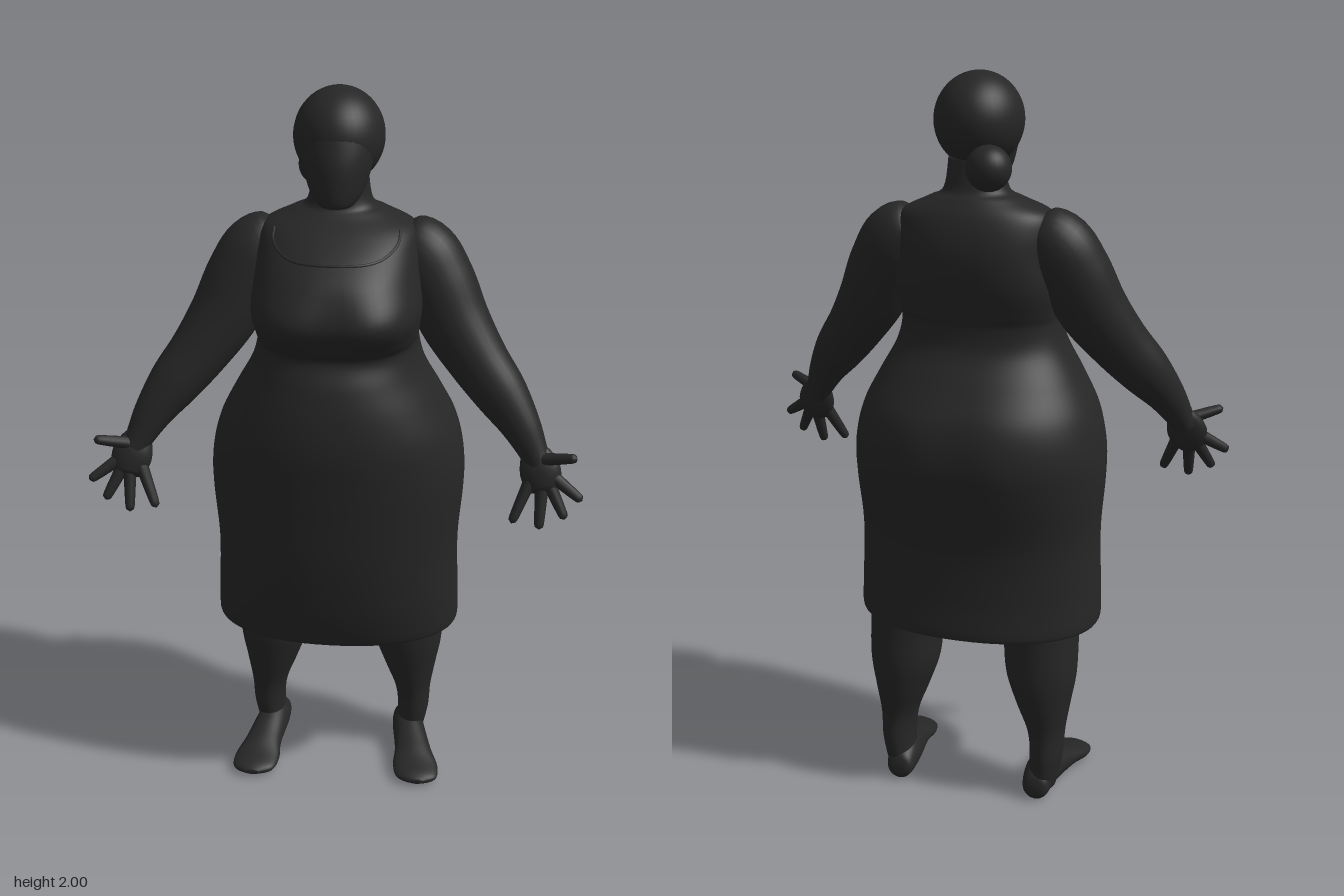
import * as THREE from 'three';
import { mergeVertices } from 'three/addons/utils/BufferGeometryUtils.js';

const SEG = 64;
const bump = (y, centre, width) => Math.exp(-(((y - centre) / width) ** 2));

// Smooth sample of a table of rows at position t (in row units)
function sample(rows, t) {
  const last = rows.length - 1;
  const i = Math.min(Math.floor(t), last - 1), f = t - i;
  const at = k => rows[Math.max(0, Math.min(last, k))];
  return rows[i].map((p1, c) => {
    const p0 = at(i - 1)[c], p2 = at(i + 1)[c], p3 = at(i + 2)[c];
    const m1 = (p2 - p0) / 2, m2 = (p3 - p1) / 2, d = p2 - p1;
    return p1 + f * (m1 + f * (3 * d - 2 * m1 - m2 + f * (m1 + m2 - 2 * d)));
  });
}

// Point on an oval level section: [y, half width, front z, back z, centre x]
function ovalPoint([y, rx, zf, zb, cx = 0], a) {
  return [cx + Math.sin(a) * rx, y, (zf + zb) / 2 + (Math.cos(a) * (zf - zb)) / 2];
}

// Point on a body section: squarer at the bust, dipped between the bust and hip lobes
function bodyPoint([y, rx, zf, zb], a) {
  const s = Math.sin(a), c = Math.cos(a), e = 2.2 + 0.6 * bump(y, 1.46, 0.09);
  const cz = -0.045 * THREE.MathUtils.smoothstep(y, 1.46, 1.62);
  const x = Math.sign(s) * Math.abs(s) ** (2 / e) * rx;
  const lobe = c > 0 ? 0.06 * bump(y, 1.47, 0.08) : 0.04 * bump(y, 1.02, 0.16);
  const z = Math.abs(c) ** (2 / e) * ((c > 0 ? zf : zb) - cz) * (1 - lobe * bump(x, 0, 0.07));
  return [x, y, cz + z];
}

// Closed skin over a stack of level sections
function loft(rows, point = ovalPoint, steps = 6) {
  const n = (rows.length - 1) * steps, pos = [], idx = [];
  for (let i = 0; i <= n; i++) {
    const row = sample(rows, i / steps);
    for (let j = 0; j < SEG; j++) pos.push(...point(row, (j / SEG) * Math.PI * 2));
  }
  for (let i = 0; i < n; i++) for (let j = 0; j < SEG; j++) {
    const a = i * SEG + j, b = i * SEG + (j + 1) % SEG;
    idx.push(a, b, b + SEG, a, b + SEG, a + SEG);
  }
  const k = (n + 1) * SEG;
  for (const [y, , zf, zb, cx = 0] of [rows[0], rows[rows.length - 1]]) pos.push(cx, y, (zf + zb) / 2);
  for (let j = 0; j < SEG; j++) {
    const b = (j + 1) % SEG;
    idx.push(k, b, j, k + 1, n * SEG + j, n * SEG + b);
  }
  const g = new THREE.BufferGeometry();
  g.setAttribute('position', new THREE.Float32BufferAttribute(pos, 3));
  g.setIndex(idx);
  g.computeVertexNormals();
  return g;
}

// Round limb through points [x, y, z, radius], optionally flattened in z
function limb(pts, flat, n, sides) {
  const curve = new THREE.CatmullRomCurve3(pts.map(p => new THREE.Vector3(p[0], p[1], p[2])));
  let g = new THREE.TubeGeometry(curve, n, 1, sides);
  const pos = g.attributes.position, v = new THREE.Vector3();
  for (let i = 0; i <= n; i++) {
    const c = curve.getPointAt(i / n);
    const r = Math.max(0.0005, sample(pts, curve.getUtoTmapping(i / n) * (pts.length - 1))[3]);
    for (let j = 0; j <= sides; j++) {
      const k = i * (sides + 1) + j;
      v.fromBufferAttribute(pos, k).sub(c).multiplyScalar(r);
      pos.setXYZ(k, c.x + v.x, c.y + v.y, c.z + v.z * flat);
    }
  }
  g.deleteAttribute('uv');
  g.deleteAttribute('normal');
  g = mergeVertices(g, 1e-5);
  g.computeVertexNormals();
  return g;
}

// Foot: sections run from heel to toe, then height and depth change places
function footGeometry(s) {
  const g = loft([
    [-0.166, 0.02, 0.02, 0.05, 0.203],
    [-0.15, 0.038, 0.004, 0.085, 0.203],
    [-0.08, 0.046, 0.003, 0.11, 0.206],
    [0.03, 0.054, 0.005, 0.076, 0.227],
    [0.09, 0.066, 0.002, 0.053, 0.237],
    [0.14, 0.058, 0.004, 0.04, 0.242],
    [0.163, 0.02, 0.015, 0.029, 0.243],
  ].map(([z, rx, low, high, x]) => [z, rx, high, low, x * s]));
  const p = g.attributes.position;
  for (let i = 0; i < p.count; i++) p.setXYZ(i, p.getX(i), p.getZ(i), p.getY(i));
  g.index.array.reverse();
  g.computeVertexNormals();
  return g;
}

export function createModel() {
  const model = new THREE.Group();
  const charcoal = new THREE.MeshStandardMaterial({ color: 0x262626 });
  charcoal.name = 'charcoal';
  const add = (name, geometry, parent = model) => {
    const m = new THREE.Mesh(geometry, charcoal);
    m.name = name;
    parent.add(m);
    return m;
  };

  // Dress and torso from hem to neck, with a lining inside the skirt
  const outer = [
    [0.522, 0.343, 0.214, -0.236],
    [0.62, 0.34, 0.24, -0.23],
    [0.77, 0.335, 0.262, -0.235],
    [0.92, 0.345, 0.273, -0.272],
    [1.02, 0.344, 0.28, -0.289],
    [1.12, 0.322, 0.285, -0.27],
    [1.21, 0.277, 0.275, -0.212],
    [1.29, 0.232, 0.253, -0.16],
    [1.355, 0.213, 0.225, -0.15],
    [1.39, 0.215, 0.252, -0.158],
    [1.46, 0.222, 0.292, -0.176],
    [1.54, 0.215, 0.252, -0.185],
    [1.60, 0.212, 0.19, -0.178],
    [1.65, 0.197, 0.115, -0.16],
    [1.685, 0.128, 0.052, -0.136],
    [1.71, 0.085, 0.032, -0.115],
    [1.79, 0.072, 0.025, -0.098],
  ];
  const lining = outer.slice(0, 4).reverse().map(([y, ...r]) => [y, ...r.map(v => v * 0.96)]);
  const body = [...lining, ...outer];
  add('dressAndTorso', loft(body, bodyPoint));

  // Neckline edge lying on the chest
  const neckline = [];
  for (let i = -8; i <= 8; i++) {
    const row = sample(body, 16 + 1.1 * (i / 8) ** 4);
    neckline.push(new THREE.Vector3(...bodyPoint(row, i * 0.12)));
  }
  add('neckline', new THREE.TubeGeometry(new THREE.CatmullRomCurve3(neckline), 48, 0.004, 6));

  // Face with a flat front and a blunt chin
  add('face', loft([
    [1.722, 0.03, 0.108, 0.04],
    [1.728, 0.047, 0.128, 0.01],
    [1.76, 0.07, 0.134, -0.04],
    [1.82, 0.088, 0.132, -0.07],
    [1.87, 0.095, 0.12, -0.08],
    [1.92, 0.09, 0.1, -0.08],
    [1.96, 0.06, 0.065, -0.06],
  ]));

  // Hair cap and a low bun
  const hair = add('hair', new THREE.SphereGeometry(1, 40, 28));
  hair.scale.set(0.116, 0.122, 0.132);
  hair.position.set(0, 1.878, -0.018);
  const bun = add('hairBun', new THREE.SphereGeometry(0.058, 28, 20));
  bun.position.set(-0.062, 1.772, -0.15);

  for (const s of [1, -1]) {
    const side = s > 0 ? 'left' : 'right';
    const arm = new THREE.Group(), leg = new THREE.Group();
    arm.name = side + 'Arm';
    leg.name = side + 'Leg';
    model.add(arm, leg);
    const mirror = pts => pts.map(([x, ...rest]) => [x * s, ...rest]);

    // Arm from shoulder to wrist
    add('armSkin', limb(mirror([
      [0.13, 1.615, -0.05, 0],
      [0.16, 1.598, -0.05, 0.07],
      [0.21, 1.57, -0.045, 0.095],
      [0.255, 1.5, -0.03, 0.098],
      [0.305, 1.4, -0.005, 0.092],
      [0.37, 1.305, 0.03, 0.08],
      [0.435, 1.225, 0.065, 0.07],
      [0.49, 1.15, 0.1, 0.052],
      [0.54, 1.06, 0.135, 0.034],
    ]), 0.92, 60, 28), arm);

    // Palm and spread fingers
    add('palm', limb(mirror([
      [0.52, 1.105, 0.12, 0],
      [0.527, 1.09, 0.123, 0.036],
      [0.545, 1.04, 0.144, 0.054],
      [0.556, 0.995, 0.162, 0.036],
      [0.558, 0.985, 0.166, 0],
    ]), 0.45, 24, 20), arm);
    const fingers = {
      thumb: [[0.54, 1.075, 0.14], [0.635, 1.103, 0.185]],
      indexFinger: [[0.58, 1.03, 0.15], [0.655, 0.982, 0.186]],
      middleFinger: [[0.57, 1.01, 0.155], [0.614, 0.928, 0.19]],
      ringFinger: [[0.55, 1, 0.157], [0.547, 0.898, 0.197]],
      littleFinger: [[0.52, 1.02, 0.15], [0.474, 0.912, 0.195]],
    };
    const taper = [[0, 0.018], [0.35, 0.016], [0.7, 0.014], [0.94, 0.011], [1, 0]];
    for (const [name, [root, tip]] of Object.entries(fingers)) {
      const pts = taper.map(([t, r]) => [...root.map((v, i) => v + (tip[i] - v) * t), r]);
      add(name, limb(mirror(pts), 1, 18, 12), arm);
    }

    // Leg from ankle to thigh
    add('legSkin', loft([
      [0.03, 0.04, -0.04, -0.155, 0.208],
      [0.12, 0.046, -0.027, -0.162, 0.22],
      [0.20, 0.053, -0.02, -0.16, 0.218],
      [0.29, 0.077, 0, -0.178, 0.208],
      [0.38, 0.099, 0.018, -0.188, 0.2],
      [0.50, 0.107, 0.035, -0.182, 0.194],
      [0.70, 0.13, 0.11, -0.18, 0.175],
      [0.92, 0.135, 0.14, -0.18, 0.165],
    ].map(([y, rx, zf, zb, x]) => [y, rx, zf, zb, x * s])), leg);
    add('foot', footGeometry(s), leg);
  }
  return model;
}
